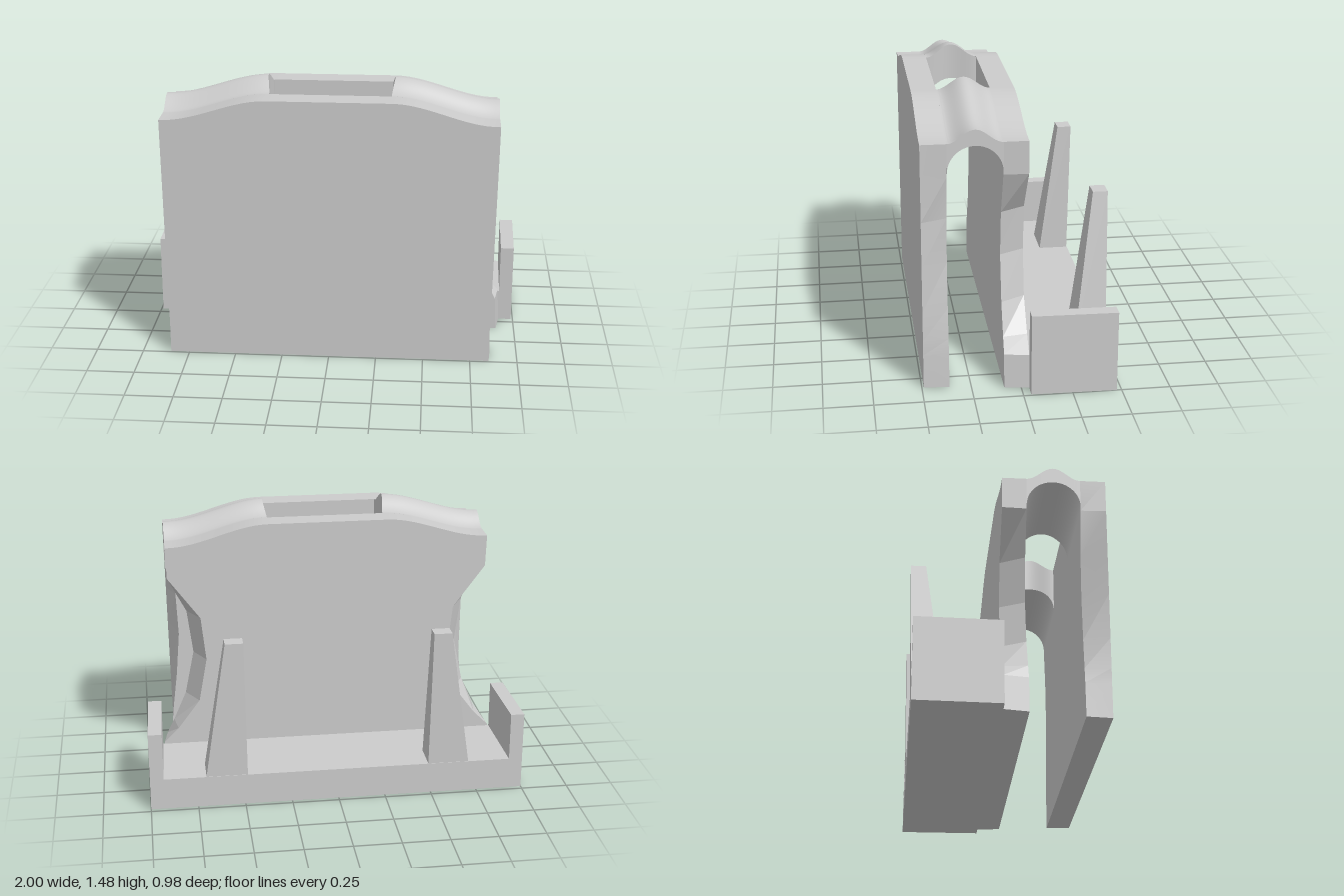
import * as THREE from 'three';
import { toCreasedNormals } from 'three/addons/utils/BufferGeometryUtils.js';

const material = new THREE.MeshStandardMaterial({ color: 0xcccccc });
const lerp = THREE.MathUtils.lerp;

// Heights of the rows in the side edges; the last row follows the curved top.
const LEVELS = [0, 0.18, 0.26, 0.42, 0.66, 0.9, 1.13, 1.3];
// Half widths per row at each face of the two panels.
const FRONT_OUTER = [0.85, 0.85, 0.852, 0.854, 0.857, 0.86, 0.863, 0.865];
const FRONT_INNER = [0.86, 0.85, 0.84, 0.82, 0.8, 0.81, 0.855, 0.865];
const BACK_INNER = [0.9, 0.89, 0.85, 0.78, 0.73, 0.76, 0.855, 0.865];
const BACK_OUTER = [0.92, 0.91, 0.83, 0.71, 0.665, 0.69, 0.86, 0.865];

const GAP_BACK = 0.085, GAP_FRONT = 0.36;
const GAP_MID = (GAP_BACK + GAP_FRONT) / 2, GAP_R = (GAP_FRONT - GAP_BACK) / 2;

// Crown of the panels: low at the sides, level in the middle.
const crown = (x) => 1.3 + 0.11 * THREE.MathUtils.smoothstep(0.85 - Math.abs(x), 0, 0.53);

// A unit box whose points (0..1 on each axis) are moved by a rule.
function warpedBox(name, segs, rule, crease = 0.3) {
  const geo = new THREE.BoxGeometry(1, 1, 1, ...segs);
  const p = geo.attributes.position;
  for (let i = 0; i < p.count; i++) {
    p.setXYZ(i, ...rule(p.getX(i) + 0.5, p.getY(i) + 0.5, p.getZ(i) + 0.5));
  }
  const mesh = new THREE.Mesh(toCreasedNormals(geo, crease), material);
  mesh.name = name;
  return mesh;
}

// Upright panel with carved side edges and a curved top.
function panel(name, zBack, zFront, backWidths, frontWidths) {
  const rows = LEVELS.length - 1;
  return warpedBox(name, [48, rows, 1], (u, v, w) => {
    const row = Math.round(v * rows);
    const x = (u * 2 - 1) * lerp(backWidths[row], frontWidths[row], w);
    return [x, row === rows ? crown(x) : LEVELS[row], lerp(zBack, zFront, w)];
  }, 0.15);
}

// Arched bridge joining the panels on one side of the central opening.
function bridge(name, side) {
  return warpedBox(name, [24, 1, 32], (u, v, w) => {
    const angle = w * Math.PI;
    const z = GAP_MID - GAP_R * Math.cos(angle);
    const bump = 0.5 - 0.5 * Math.cos(((z - GAP_BACK) / (2 * GAP_R)) * Math.PI * 2);
    const inner = 0.313 + 0.015 * bump;
    const x = side * lerp(inner, 0.865, side > 0 ? u : 1 - u);
    const y = v < 0.5 ? 1.148 + GAP_R * Math.sin(angle) : crown(x) + 0.067 * bump;
    return [x, y, z];
  }, 0.5);
}

// Tapered post: upright inner side, sloping outer and front sides.
function post(name, side) {
  return warpedBox(name, [1, 1, 1], (u, v, w) => {
    const out = side > 0 ? u : 1 - u;
    const x = side * lerp(lerp(0.485, 0.495, v), lerp(0.705, 0.59, v), out);
    const z = lerp(lerp(-0.472, -0.487, v), lerp(-0.31, -0.41, v), w);
    return [x, lerp(0.16, 0.92, v), z];
  });
}

// Tray with raised ends, narrowing slightly towards the panels.
function tray() {
  const shape = new THREE.Shape([
    [-1, 0], [1, 0], [1, 0.43], [0.928, 0.43],
    [0.928, 0.17], [-0.928, 0.17], [-0.928, 0.43], [-1, 0.43],
  ].map(([x, y]) => new THREE.Vector2(x, y)));
  const geo = new THREE.ExtrudeGeometry(shape, { depth: 0.435, bevelEnabled: false });
  const p = geo.attributes.position;
  for (let i = 0; i < p.count; i++) {
    const t = p.getZ(i) / 0.435;
    p.setX(i, p.getX(i) * (1 - 0.01 * t));
  }
  geo.translate(0, 0, -0.475);
  const mesh = new THREE.Mesh(toCreasedNormals(geo, 0.3), material);
  mesh.name = 'tray';
  return mesh;
}

export function createModel() {
  const model = new THREE.Group();
  model.name = 'panelHolder';
  model.add(
    panel('frontPanel', GAP_FRONT, 0.49, FRONT_INNER, FRONT_OUTER),
    panel('backPanel', -0.04, GAP_BACK, BACK_OUTER, BACK_INNER),
    tray(),
  );
  for (const [label, side] of [['left', 1], ['right', -1]]) {
    model.add(bridge(label + 'Bridge', side), post(label + 'Post', side));
  }
  return model;
}
